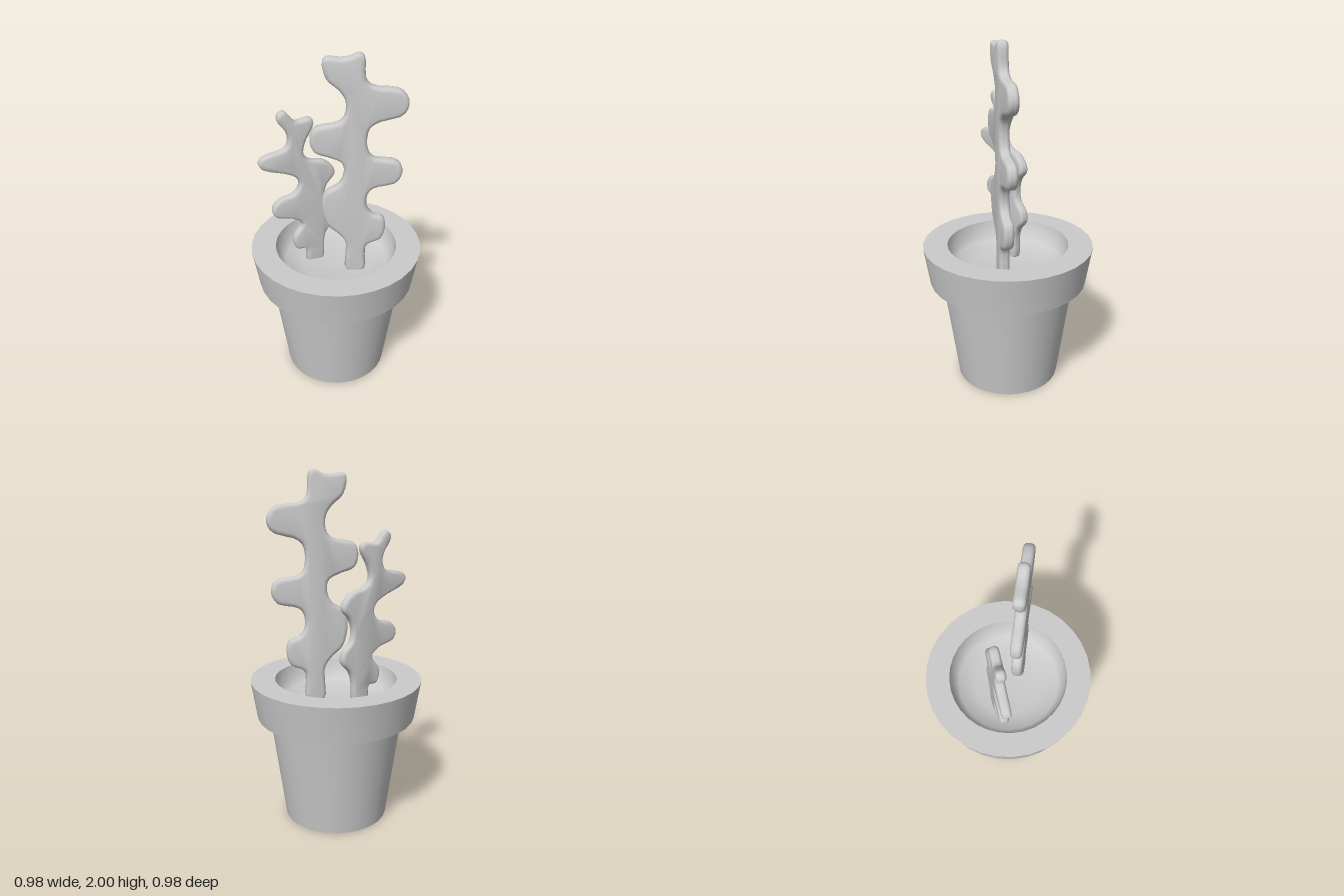
import * as THREE from 'three';
import { toCreasedNormals } from 'three/addons/utils/BufferGeometryUtils.js';

const material = new THREE.MeshStandardMaterial({ color: 0xcccccc });

// Flat list of x, y pairs -> Vector2 points
function pairs(list) {
  const points = [];
  for (let i = 0; i < list.length; i += 2) points.push(new THREE.Vector2(list[i], list[i + 1]));
  return points;
}

// Flat cactus pad: smooth closed outline, extruded with rounded edges
function createPad(name, outline, thickness) {
  const curve = new THREE.CatmullRomCurve3(
    pairs(outline).map((p) => new THREE.Vector3(p.x, p.y, 0)), true, 'centripetal');
  const shape = new THREE.Shape(curve.getPoints(140).slice(0, -1).map((p) => new THREE.Vector2(p.x, p.y)));
  const bevel = thickness * 0.36;
  const depth = thickness - 2 * bevel;
  const geometry = new THREE.ExtrudeGeometry(shape, {
    depth, bevelEnabled: true, bevelSize: bevel, bevelOffset: -bevel,
    bevelThickness: bevel, bevelSegments: 3,
  });
  geometry.translate(0, 0, -depth / 2);
  const mesh = new THREE.Mesh(toCreasedNormals(geometry, 0.8), material);
  mesh.name = name;
  return mesh;
}

export function createModel() {
  const model = new THREE.Group();
  model.name = 'pottedCactus';

  // Pot: recessed base, tapered wall, overhanging rim and sunken dish of soil
  const profile = pairs([
    0, 0.24, 0.29, 0.24, 0.265, 0, 0.30, 0, 0.385, 0.62, 0.455, 0.62,
    0.49, 0.84, 0.35, 0.84, 0.335, 0.77, 0.30, 0.73, 0.2, 0.71, 0, 0.70,
  ]);
  const pot = new THREE.Mesh(toCreasedNormals(new THREE.LatheGeometry(profile, 32), 0.9), material);
  pot.name = 'pot';
  model.add(pot);

  // Tall cactus, outline clockwise from the top left
  const tall = createPad('tallCactus', [
    -0.07, 1.96, -0.05, 1.98, 0.015, 1.975, 0.065, 1.98, 0.11, 2.0, 0.138, 1.985,
    0.15, 1.865, 0.19, 1.83, 0.325, 1.81, 0.37, 1.745, 0.345, 1.675, 0.21, 1.63,
    0.17, 1.59, 0.165, 1.485, 0.195, 1.435, 0.325, 1.41, 0.355, 1.35, 0.325, 1.28,
    0.2, 1.245, 0.17, 1.2, 0.17, 1.125, 0.205, 1.08, 0.26, 1.06, 0.275, 0.99,
    0.25, 0.915, 0.18, 0.88, 0.165, 0.84, 0.16, 0.69, 0.06, 0.69, 0.055, 0.885,
    0.015, 0.95, -0.05, 1.01, -0.08, 1.125, -0.065, 1.22, 0.01, 1.27, 0.04, 1.335,
    0.03, 1.4, -0.035, 1.435, -0.115, 1.465, -0.14, 1.535, -0.115, 1.605, 0.01, 1.635,
    0.045, 1.68, 0.045, 1.755, 0.01, 1.81, -0.05, 1.865,
  ], 0.06);
  tall.position.z = 0.055;
  model.add(tall);

  // Short cactus, turned a little about its stem
  const short = createPad('shortCactus', [
    -0.17, 1.65, -0.135, 1.675, -0.095, 1.635, -0.07, 1.61, 0.015, 1.615, 0.03, 1.58,
    -0.02, 1.48, -0.03, 1.41, 0.005, 1.37, 0.085, 1.35, 0.14, 1.3, 0.15, 1.255,
    0.105, 1.2, 0.085, 1.135, 0.095, 1.07, 0.145, 1.02, 0.155, 0.955, 0.105, 0.895,
    0.085, 0.84, 0.07, 0.69, -0.02, 0.69, -0.03, 0.79, -0.085, 0.80, -0.105, 0.86,
    -0.095, 0.9, -0.05, 0.965, -0.1, 1.01, -0.205, 1.045, -0.22, 1.1, -0.18, 1.15,
    -0.09, 1.175, -0.06, 1.23, -0.08, 1.275, -0.14, 1.31, -0.265, 1.36, -0.283, 1.4,
    -0.26, 1.43, -0.135, 1.46, -0.115, 1.505, -0.125, 1.555, -0.165, 1.615,
  ], 0.052);
  short.position.set(-0.15, 0, -0.047);
  short.rotation.y = THREE.MathUtils.degToRad(21);
  model.add(short);

  return model;
}
